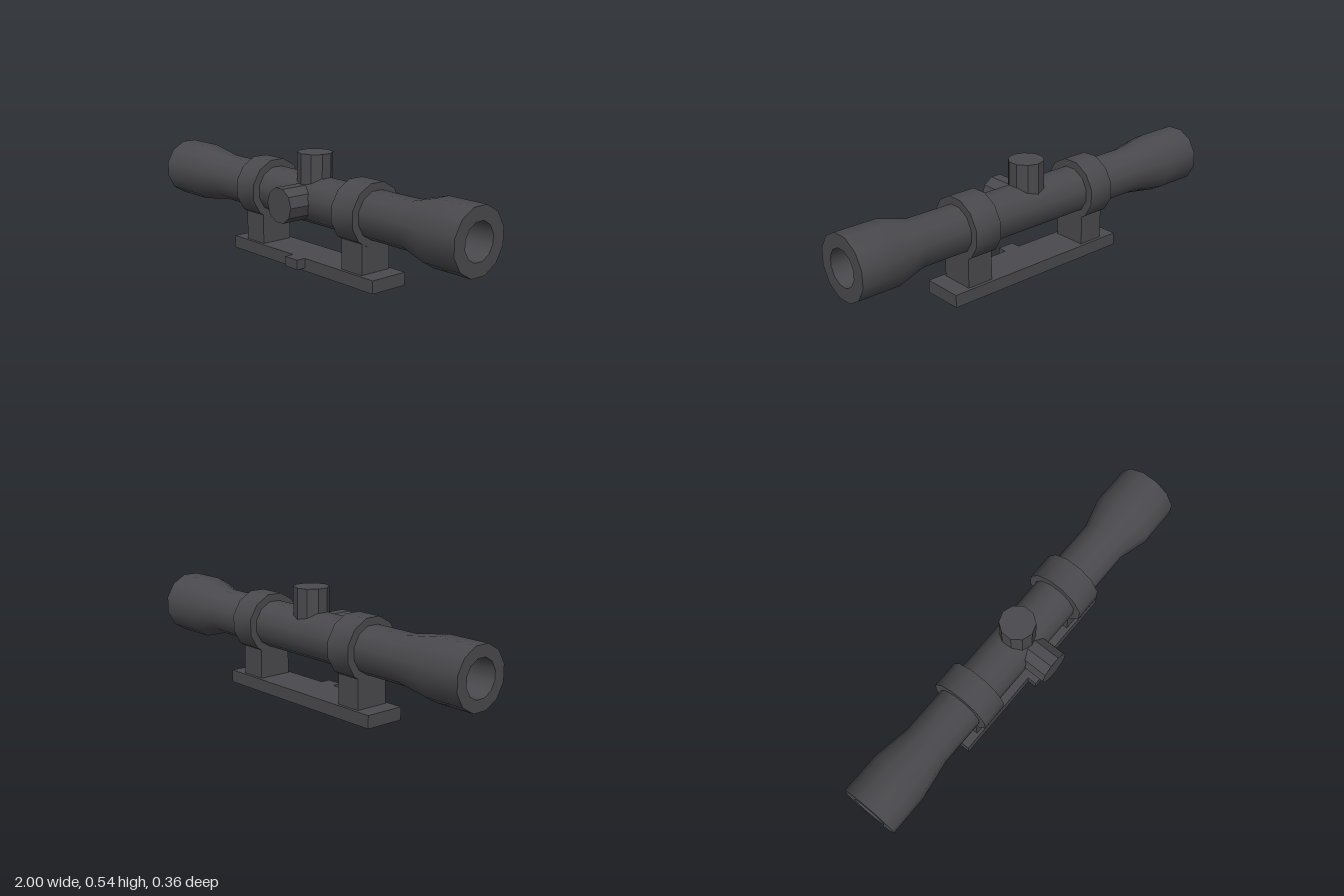
import * as THREE from 'three';
import { toCreasedNormals } from 'three/addons/utils/BufferGeometryUtils.js';

const AXIS_Y = 0.318, AXIS_Z = -0.033, KNOB_X = 0.0175;

export function createModel() {
  const group = new THREE.Group();
  const gunmetal = new THREE.MeshStandardMaterial({ color: 0x4a494d });
  gunmetal.name = 'gunmetal';

  const add = (name, geometry, x, y, z) => {
    const mesh = new THREE.Mesh(geometry, gunmetal);
    mesh.name = name;
    mesh.position.set(x, y, z);
    group.add(mesh);
  };

  // Box given by its extents on each axis
  const box = (name, [x0, x1], [y0, y1], [z0, z1]) => add(
    name, new THREE.BoxGeometry(x1 - x0, y1 - y0, z1 - z0),
    (x0 + x1) / 2, (y0 + y1) / 2, (z0 + z1) / 2);

  // Twelve-sided hollow turning along x; profile entries are [x, radius]
  const turned = (name, profile) => {
    const points = [...profile, profile[0]].map(([x, r]) => new THREE.Vector2(r, x));
    const geometry = new THREE.LatheGeometry(points, 12, Math.PI / 12).rotateZ(-Math.PI / 2);
    add(name, toCreasedNormals(geometry, 0.6), 0, AXIS_Y, AXIS_Z);
  };

  // Main tube: eyepiece, slim middle, objective bell, and a through bore
  turned('scopeTube', [
    [-1, 0.141], [-0.8, 0.141], [-0.62, 0.112],
    [0.66, 0.112], [0.8, 0.151], [1, 0.151],
    [1, 0.086], [0.8, 0.084], [-0.8, 0.084], [-1, 0.086],
  ]);

  // Mounting rings and their pedestals
  for (const [side, x0, x1] of [['right', -0.39, -0.26], ['left', 0.29, 0.425]]) {
    turned(`${side}Ring`, [[x0, 0.148], [x1, 0.148], [x1, 0.1], [x0, 0.1]]);
    box(`${side}Pedestal`, [x0 + 0.002, x1 - 0.002], [0.05, 0.22], [-0.114, 0.05]);
  }

  // Ten-sided adjustment knobs
  const knob = (length) => new THREE.CylinderGeometry(0.083, 0.083, length, 10);
  const inner = 0.075;
  const topLength = 0.538 - AXIS_Y - inner;
  add('topKnob', toCreasedNormals(knob(topLength), 0.6), KNOB_X, 0.538 - topLength / 2, AXIS_Z);
  const sideLength = 0.18 - AXIS_Z - inner;
  add('frontKnob',
    toCreasedNormals(knob(sideLength).rotateY(Math.PI / 2).rotateX(Math.PI / 2), 0.6),
    KNOB_X, AXIS_Y, 0.18 - sideLength / 2);

  // Base rail and its latch
  box('baseRail', [-0.47, 0.507], [0, 0.06], [-0.13, 0.065]);
  box('latch', [-0.025, 0.06], [0.014, 0.06], [0.06, 0.111]);

  return group;
}
